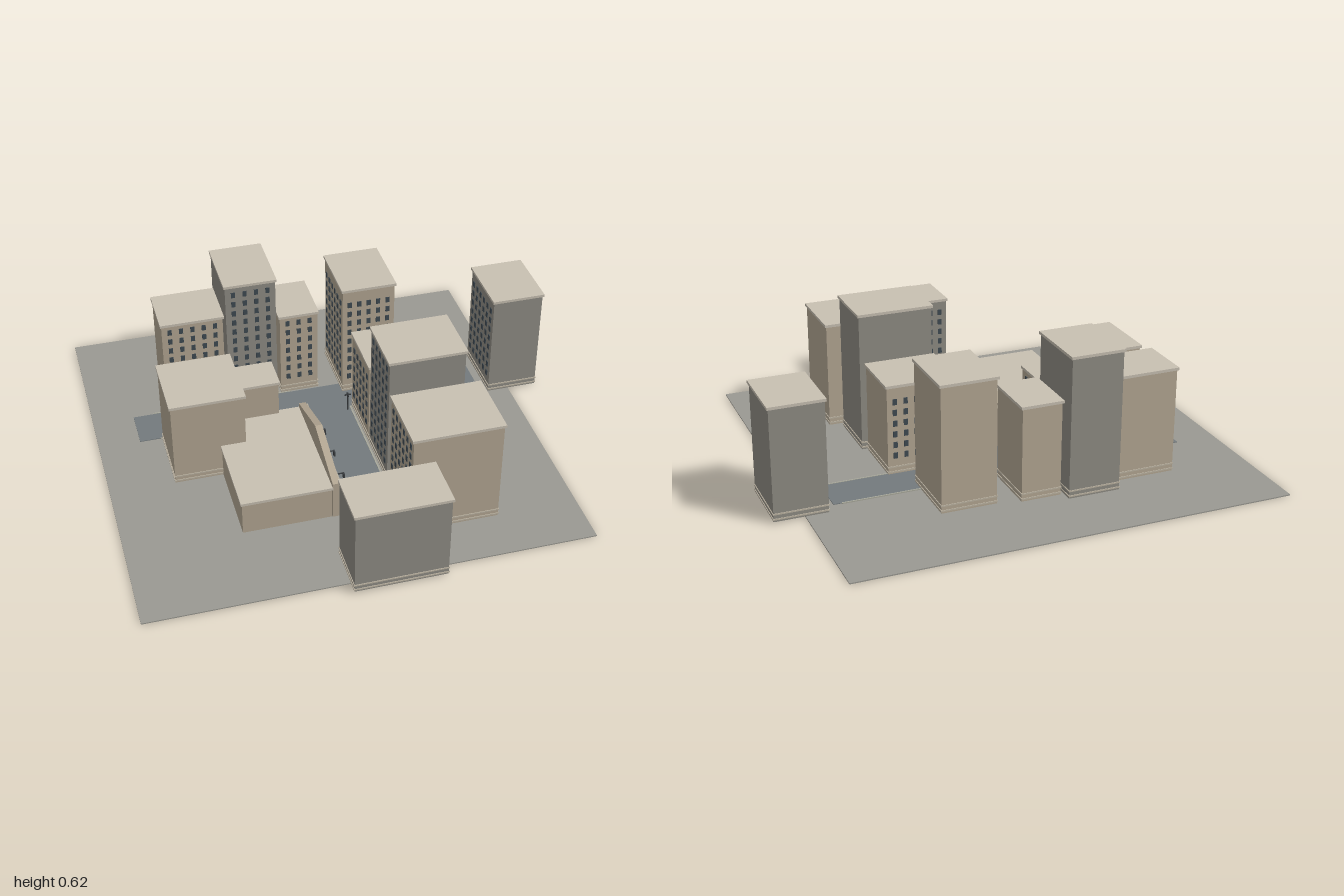
import * as THREE from 'three';
import { mergeGeometries } from 'three/addons/utils/BufferGeometryUtils.js';

const mat = (color) => new THREE.MeshStandardMaterial({ color, flatShading: true });
const tan = mat(0xb3a793), grey = mat(0x8f8c84), roofMat = mat(0xc8c0b2), trim = mat(0xbcb3a2);
const glass = mat(0x3f4a52), shopGlass = mat(0x5b7f99), ground = mat(0x9a9992), road = mat(0x737a7d);
const paint = mat(0xa9a99c), dark = mat(0x3a3d40);

// Box geometry given by its extents
function boxGeo(x0, x1, y0, y1, z0, z1) {
  return new THREE.BoxGeometry(x1 - x0, y1 - y0, z1 - z0)
    .translate((x0 + x1) / 2, (y0 + y1) / 2, (z0 + z1) / 2);
}
function add(parent, name, geo, material) {
  const m = new THREE.Mesh(geo, material);
  m.name = name;
  parent.add(m);
  return m;
}

// Grid of window panes on one side of a block
function windowGrid(x0, x1, z0, z1, h, side) {
  const panes = [], alongX = side[1] === 'z';
  const [a, b] = alongX ? [x0, x1] : [z0, z1];
  const cols = Math.floor((b - a - 0.02) / 0.042);
  const step = (b - a - 0.02) / cols;
  for (let y = 0.09; y < h - 0.04; y += 0.048) {
    for (let i = 0; i < cols; i++) {
      const c = a + 0.01 + step * (i + 0.5);
      const face = { '+x': x1, '-x': x0, '+z': z1, '-z': z0 }[side];
      panes.push(alongX
        ? boxGeo(c - 0.009, c + 0.009, y - 0.013, y + 0.013, face - 0.003, face + 0.003)
        : boxGeo(face - 0.003, face + 0.003, y - 0.013, y + 0.013, c - 0.009, c + 0.009));
    }
  }
  return panes;
}

// Block with plinth bands, roof cap and windows on the street sides
function building(name, x0, x1, z0, z1, h, material, sides) {
  const g = new THREE.Group(), e = 0.006;
  g.name = name;
  const [a, b, c, d] = [x0 + e, x1 - e, z0 + e, z1 - e];
  add(g, 'walls', boxGeo(a, b, 0.006, h - 0.01, c, d), material);
  add(g, 'roofCap', boxGeo(x0, x1, h - 0.012, h, z0, z1), roofMat);
  const bands = [0.014, 0.036].map((y) =>
    boxGeo(a - 0.003, b + 0.003, y, y + 0.006, c - 0.003, d + 0.003));
  add(g, 'plinthBands', mergeGeometries(bands), trim);
  const panes = sides.flatMap((s) => windowGrid(a, b, c, d, h, s));
  add(g, 'windows', mergeGeometries(panes), glass);
  return g;
}

// Low shop with a gabled street front, shop windows and lamps
function shop() {
  const g = new THREE.Group();
  g.name = 'lowShop';
  add(g, 'walls', boxGeo(-0.515, -0.14, 0.006, 0.15, -0.045, 0.508), tan);
  add(g, 'roofSlab', boxGeo(-0.52, -0.135, 0.15, 0.162, -0.045, 0.512), roofMat);

  const gable = new THREE.Shape([
    [-0.278, 0.006], [0.278, 0.006], [0.278, 0.18], [0, 0.27], [-0.278, 0.18],
  ].map((p) => new THREE.Vector2(...p)));
  const front = new THREE.ExtrudeGeometry(gable, { depth: 0.03, bevelEnabled: false });
  front.rotateY(Math.PI / 2).translate(-0.138, 0, 0.233);
  add(g, 'gabledFront', front, tan);
  add(g, 'frontCornice', boxGeo(-0.11, -0.098, 0.158, 0.17, -0.045, 0.511), trim);

  const panes = [], lamps = [];
  for (let i = 0; i < 6; i++) {
    const z = 0.003 + i * 0.092;
    panes.push(boxGeo(-0.11, -0.103, 0.07, 0.15, z - 0.034, z + 0.034));
  }
  panes.push(boxGeo(-0.11, -0.103, 0.006, 0.06, 0.2, 0.266));
  add(g, 'shopWindows', mergeGeometries(panes), shopGlass);
  for (const z of [0.08, 0.23, 0.38]) {
    lamps.push(boxGeo(-0.108, -0.055, 0.114, 0.118, z - 0.002, z + 0.002));
    lamps.push(boxGeo(-0.06, -0.053, 0.096, 0.118, z - 0.004, z + 0.014));
  }
  add(g, 'wallLamps', mergeGeometries(lamps), dark);
  return g;
}

export function createModel() {
  const city = new THREE.Group();
  city.name = 'cityBlock';

  // Ground and T-shaped street
  add(city, 'ground', boxGeo(-1, 0.865, 0, 0.005, -0.962, 0.9), ground);
  add(city, 'crossStreet', boxGeo(-0.82, 0.735, 0.004, 0.008, -0.355, -0.18), road);
  add(city, 'mainStreet', boxGeo(-0.095, 0.13, 0.004, 0.008, -0.18, 0.595), road);
  const curbs = [];
  for (const z of [-0.358, -0.177]) {
    curbs.push(boxGeo(-0.73, -0.1, 0.004, 0.01, z - 0.003, z + 0.003));
    curbs.push(boxGeo(0.13, 0.7, 0.004, 0.01, z - 0.003, z + 0.003));
  }
  for (const x of [-0.097, 0.132]) curbs.push(boxGeo(x - 0.003, x + 0.003, 0.004, 0.01, -0.177, 0.59));
  add(city, 'curbs', mergeGeometries(curbs), paint);

  // Blocks: name, x range, z range, height, colour, window sides
  const blocks = [
    ['backLeftBlock', -0.67, -0.388, -0.595, -0.36, 0.47, tan, ['+z']],
    ['backTower', -0.385, -0.15, -0.668, -0.36, 0.62, grey, ['+z']],
    ['backMiddleBlock', -0.146, 0.037, -0.62, -0.36, 0.42, tan, ['+z']],
    ['backRightTower', 0.122, 0.37, -0.595, -0.29, 0.555, tan, ['+z', '-x']],
    ['endTower', 0.763, 1, -0.415, -0.12, 0.495, grey, ['-x']],
    ['cornerBlock', 0.137, 0.45, -0.192, 0.08, 0.405, tan, ['-x', '-z']],
    ['sideTower', 0.137, 0.472, 0.084, 0.355, 0.62, grey, ['-x']],
    ['sideBlock', 0.137, 0.525, 0.38, 0.685, 0.48, tan, ['-x']],
    ['frontBlock', -0.177, 0.22, 0.725, 0.957, 0.395, grey, ['-z']],
    ['leftBlock', -0.727, -0.405, -0.175, 0.135, 0.405, tan, ['-z', '+x']],
    ['leftSmallBlock', -0.405, -0.225, -0.175, -0.018, 0.33, tan, ['-z', '+x']],
  ];
  for (const b of blocks) city.add(building(...b));
  city.add(shop());

  // Street signal at the junction
  const signal = [boxGeo(0.112, 0.118, 0.005, 0.1, -0.163, -0.157),
    boxGeo(0.1, 0.13, 0.088, 0.094, -0.162, -0.158),
    boxGeo(0.113, 0.117, 0.088, 0.094, -0.175, -0.145)];
  add(city, 'streetSignal', mergeGeometries(signal), dark);
  return city;
}
